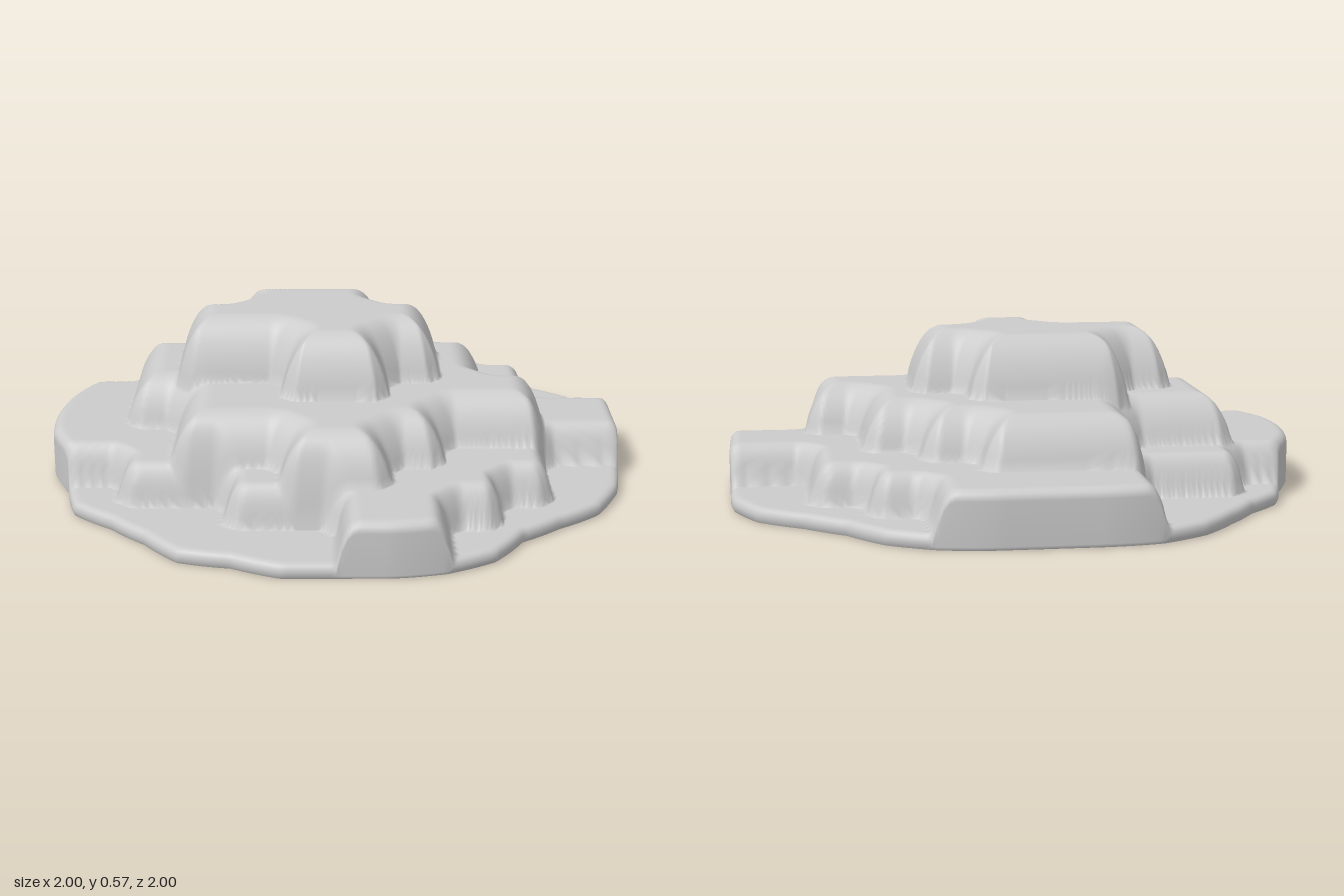
import * as THREE from 'three';

const CELL = 0.183; // terraces step along a square grid
const RIM = 0.05;
const SEGMENTS = 360;
const RINGS = 100;

// Terraces: first row, then the left and right end of each row in cells, back to front
const TERRACES = [
  { rise: 0.14, width: 0.07, start: -6, rows: [[-2, 2], [-2, 2], [-2, 3], [-4, 4], [-6, 4], [-6, 6],
    [-6, 6], [-6, 4], [-4, 4], [-2, 3], [0, 2], [0, 2]] },
  { rise: 0.17, width: 0.13, start: -4, rows: [[-2, 1], [-2, 2], [-4, 3], [-4, 3], [-4, 4], [-3, 4], [-3, 2], [-1, 1]] },
  { rise: 0.21, width: 0.14, start: -2, rows: [[-2, 1], [-3, 2], [-3, 2], [-1, 1]] },
].map((t) => ({ ...t, foot: footOutline(t.rows, t.start) }));

// Ragged base edge: radius every 10 degrees, from +x towards +z
const EDGE = [1, 1.015, 1.035, 1.03, 0.975, 0.955, 1.02, 1.03, 1.015, 1, 1.015, 0.985,
  1.02, 0.975, 0.975, 1.02, 0.98, 1.005, 1, 0.985, 0.955, 0.98, 0.955, 0.98,
  1.025, 1.04, 1.015, 1, 1.015, 1.035, 1.025, 0.975, 0.99, 1.05, 1.05, 1.01];

// Stepped outline around the rows, with its corners cut
function footOutline(rows, start) {
  const right = [], left = [];
  rows.forEach(([a, b], i) => {
    right.push([b, start + i], [b, start + i + 1]);
    left.unshift([a, start + i + 1], [a, start + i]);
  });
  const corners = [...right, ...left]
    .map(([x, z]) => new THREE.Vector2(x, z).multiplyScalar(CELL))
    .filter((p, i, all) => !p.equals(all[(i + 1) % all.length]));
  const n = corners.length;
  return corners.flatMap((p, i) => [corners[(i + n - 1) % n], corners[(i + 1) % n]]
    .map((q) => p.clone().add(q.clone().sub(p).setLength(0.045))));
}

// Distance inside an outline (0 when outside)
function depthInside(outline, x, z) {
  let inside = false, best = Infinity;
  outline.forEach((a, i) => {
    const b = outline[(i + 1) % outline.length];
    const dx = b.x - a.x, dz = b.y - a.y;
    if ((a.y > z) !== (b.y > z) && x < a.x + (dx * (z - a.y)) / dz) inside = !inside;
    const t = THREE.MathUtils.clamp(((x - a.x) * dx + (z - a.y) * dz) / (dx * dx + dz * dz), 0, 1);
    best = Math.min(best, Math.hypot(x - a.x - t * dx, z - a.y - t * dz));
  });
  return inside ? best : 0;
}

// Rounded shoulders stacked on the rim level
function height(x, z) {
  return TERRACES.reduce((y, { foot, rise, width }) => {
    const t = Math.min(1, depthInside(foot, x, z) / width);
    return y + rise * Math.pow(1 - Math.pow(1 - t, 2.3), 0.8);
  }, RIM);
}

// Height rounded over towards the outer edge
function topHeight(x, z, toEdge) {
  const y = height(x, z), round = Math.min(0.035, y * 0.5);
  const k = Math.max(0, 1 - toEdge / round);
  return y - round * (1 - Math.sqrt(1 - k * k));
}

// Base edge points, with the four sides cut flat at 1
function edgePoints() {
  return Array.from({ length: SEGMENTS }, (_, j) => {
    const f = (j / SEGMENTS) * EDGE.length, i = Math.floor(f), a = (j / SEGMENTS) * Math.PI * 2;
    const r = THREE.MathUtils.lerp(EDGE[i], EDGE[(i + 1) % EDGE.length], f - i);
    const limit = 1 / Math.max(Math.abs(Math.cos(a)), Math.abs(Math.sin(a)));
    return new THREE.Vector2(Math.cos(a), Math.sin(a)).multiplyScalar(Math.min(r, limit));
  });
}

// Rings from the summit out to the edge, then down the wall
function moundGeometry(edge) {
  const pos = [0, height(0, 0), 0], index = [];
  const addRing = (u, heightOf) => edge.forEach((p) => {
    const x = p.x * u, z = p.y * u;
    pos.push(x, heightOf(x, z, p.length() * (1 - u)), z);
  });
  const steps = Array.from({ length: RINGS }, (_, i) => (0.965 * (i + 1)) / RINGS);
  steps.push(0.975, 0.985, 0.993, 0.998, 1);
  steps.forEach((u) => addRing(u, topHeight));
  addRing(1, () => 0.012);
  addRing(0.993, () => 0);

  const at = (i, j) => 1 + i * SEGMENTS + (j % SEGMENTS);
  for (let j = 0; j < SEGMENTS; j++) {
    index.push(0, at(0, j + 1), at(0, j));
    for (let i = 0; i <= steps.length; i++) {
      index.push(at(i, j), at(i + 1, j + 1), at(i + 1, j), at(i, j), at(i, j + 1), at(i + 1, j + 1));
    }
  }
  const geo = new THREE.BufferGeometry();
  geo.setAttribute('position', new THREE.Float32BufferAttribute(pos, 3));
  geo.setIndex(index);
  geo.computeVertexNormals();
  return geo;
}

export function createModel() {
  const group = new THREE.Group();
  group.name = 'terracedMound';
  const material = new THREE.MeshStandardMaterial({ color: 0xcccccc });
  const edge = edgePoints();

  const terraces = new THREE.Mesh(moundGeometry(edge), material);
  terraces.name = 'terraces';

  // Flat underside
  const shape = new THREE.Shape(edge.map((p) => p.clone().multiplyScalar(0.993)));
  const underside = new THREE.Mesh(new THREE.ShapeGeometry(shape).rotateX(Math.PI / 2), material);
  underside.name = 'underside';

  group.add(terraces, underside);
  return group;
}
